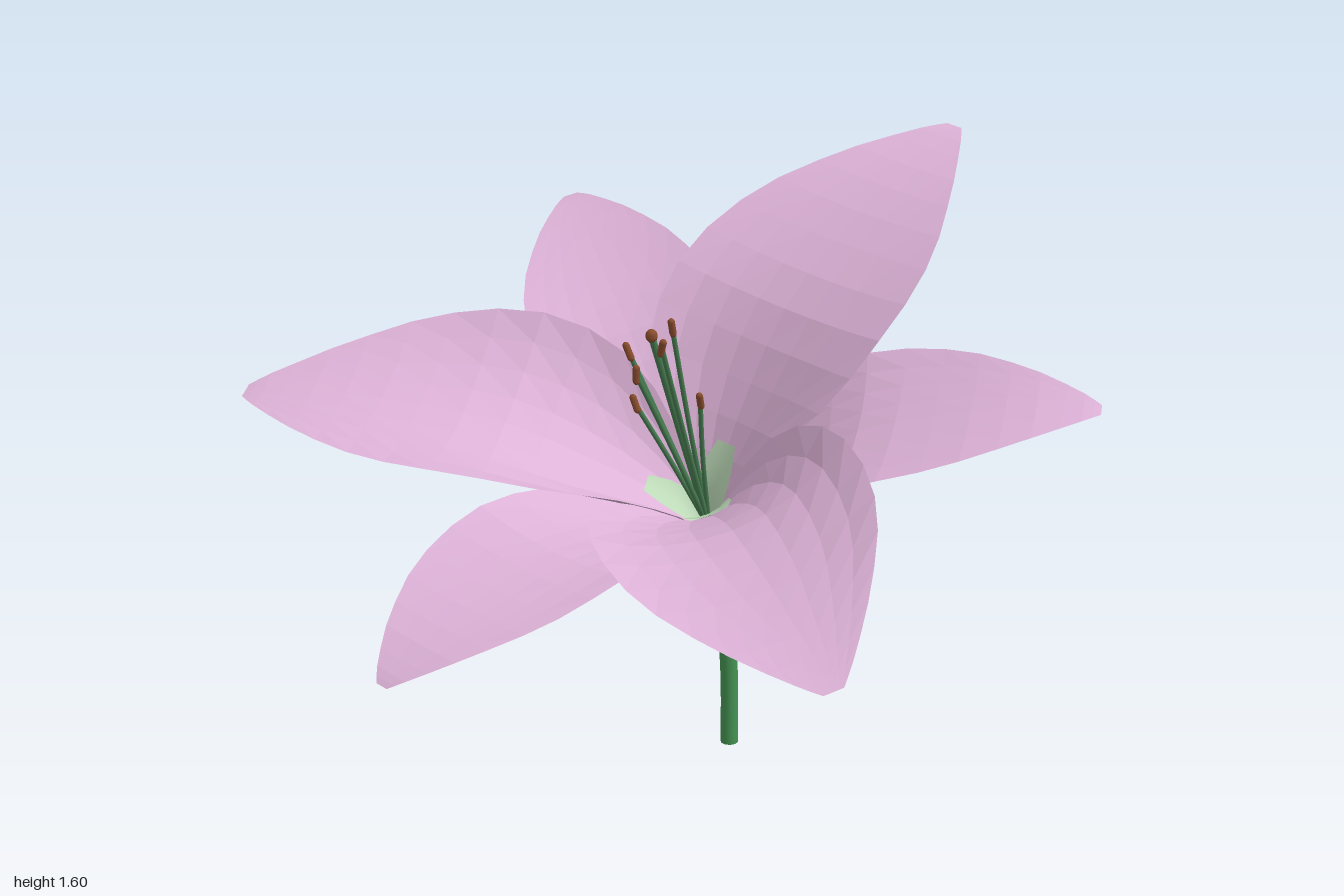
import * as THREE from 'three';

const V = (x, y, z) => new THREE.Vector3(x, y, z);
const mat = (name, color, extra = {}) => {
  const m = new THREE.MeshStandardMaterial({ color, ...extra });
  m.name = name;
  return m;
};

// Flower frame: the bloom sits on the stem end and leans forward
const BASE = V(-0.07, 0.6, -0.16);
const AXIS = V(0.13, 1, 0.53).normalize();

// Petal stations: distance from axis, height, width fraction, cupping radius
const STATIONS = [
  [0.022, 0, 0.09, 0.03], [0.035, 0.08, 0.14, 0.047], [0.09, 0.17, 0.4, 0.125],
  [0.25, 0.3, 0.86, 0.3], [0.44, 0.42, 1, 0.53], [0.67, 0.48, 0.88, 0.75],
  [0.88, 0.507, 0.55, 0.9], [1.04, 0.507, 0.22, 0.9], [1.1, 0.5, 0.07, 0.9],
];
const spine = new THREE.CatmullRomCurve3(STATIONS.map(([r, h]) => V(r, h, 0)), false, 'catmullrom');
const breadth = new THREE.CatmullRomCurve3(STATIONS.map(([, , w, c]) => V(w, c, 0)), false, 'catmullrom');

// Cupped sheet from the flower base towards a tip, with a slight roll, bulge and flattening
function petalSheet({ tip, width, swell, roll, bulge, flat }, { rows, cols, tEnd = 1, spread = () => 1, lift = 0 }) {
  const rel = tip.clone().sub(BASE);
  const tipH = rel.dot(AXIS);
  const out = rel.addScaledVector(AXIS, -tipH);
  const tipR = out.length();
  out.normalize();
  const across = new THREE.Vector3().crossVectors(AXIS, out);
  const at = (t) => {
    const p = spine.getPoint(t), k = p.x / 1.1;
    return [
      p.x * (swell + (tipR / 1.1 - swell) * k),
      p.y + (tipH - 0.5) * k * k + bulge * Math.sin(Math.PI * k),
    ];
  };
  const pos = [], index = [];
  for (let i = 0; i <= rows; i++) {
    const t = (i / rows) * tEnd;
    const [r, h] = at(t);
    const [r0, h0] = at(Math.max(0, t - 0.01)), [r1, h1] = at(Math.min(1, t + 0.01));
    const tangent = out.clone().multiplyScalar(r1 - r0).addScaledVector(AXIS, h1 - h0).normalize();
    const side = across.clone().applyAxisAngle(tangent, roll * Math.min(1, r / 0.6));
    const normal = new THREE.Vector3().crossVectors(tangent, side);
    const b = breadth.getPoint(t), R = b.y * swell * (1 + flat * Math.min(1, r / 0.6));
    for (let j = 0; j <= cols; j++) {
      const a = ((j / cols) * 2 - 1) * spread(i / rows) * b.x * width / R;
      const p = BASE.clone().addScaledVector(out, r).addScaledVector(AXIS, h)
        .addScaledVector(side, R * Math.sin(a))
        .addScaledVector(normal, R * (1 - Math.cos(a)) + lift);
      pos.push(p.x, p.y, p.z);
      if (i < rows && j < cols) {
        const q = i * (cols + 1) + j, n = q + cols + 1;
        index.push(q, n, q + 1, q + 1, n, n + 1);
      }
    }
  }
  const g = new THREE.BufferGeometry();
  g.setAttribute('position', new THREE.Float32BufferAttribute(pos, 3));
  g.setIndex(index);
  g.computeVertexNormals();
  return g;
}

export function createModel() {
  const pink = mat('petal pink', 0xdeb3d8, { side: THREE.DoubleSide, flatShading: true });
  const pale = mat('pale throat green', 0xbddab8);
  const green = mat('stem green', 0x469453);
  const dark = mat('filament green', 0x4a8054);
  const brown = mat('anther brown', 0x8a4e2e);

  const model = new THREE.Group();
  model.name = 'flower';
  const add = (name, geometry, material, parent = model) => {
    const m = new THREE.Mesh(geometry, material);
    m.name = name;
    parent.add(m);
    return m;
  };

  // Curved stem with a closed foot
  const stemPath = new THREE.CatmullRomCurve3([
    V(-0.07, 0, -0.22), V(-0.07, 0.2, -0.218), V(-0.07, 0.4, -0.2), V(-0.07, 0.53, -0.178), V(-0.07, 0.61, -0.157),
  ]);
  add('stem', new THREE.TubeGeometry(stemPath, 16, 0.024, 10), green);
  const foot = add('stemFoot', new THREE.CircleGeometry(0.024, 10), green);
  foot.rotation.x = Math.PI / 2;
  foot.position.set(-0.07, 0.001, -0.22);

  // Pale collar where the petals join the stem
  const collar = add('collar', new THREE.CylinderGeometry(0.035, 0.027, 0.04, 12), pale);
  collar.position.copy(BASE).addScaledVector(AXIS, 0.015);
  collar.quaternion.setFromUnitVectors(V(0, 1, 0), AXIS);

  // Three broad inner petals with a pale throat of given reach, three narrower outer ones
  const inner = { width: 0.35, swell: 1, flat: 0 };
  const outer = { width: 0.26, swell: 1.13, flat: 0.6 };
  const petals = [
    { ...inner, name: 'backPetal', tip: V(0.01, 1.6, -0.98), roll: 0.03, bulge: 0.03, flat: 1.5, throat: 0.3 },
    { ...inner, name: 'leftFrontPetal', tip: V(1, 0.73, 0.53), roll: -0.08, bulge: 0.01, throat: 0.34 },
    { ...inner, name: 'rightFrontPetal', tip: V(-1, 0.98, 0.65), roll: 0.1, bulge: 0.02, throat: 0.29 },
    { ...outer, name: 'frontPetal', tip: V(-0.02, 0.55, 0.97), roll: 0, bulge: -0.01, flat: 1.2 },
    { ...outer, name: 'leftBackPetal', tip: V(0.9, 1.11, -0.5), roll: -0.08, bulge: -0.03 },
    { ...outer, name: 'rightBackPetal', tip: V(-0.91, 1.35, -0.41), roll: 0.07, bulge: -0.03 },
  ];
  for (const petal of petals) {
    add(petal.name, petalSheet(petal, { rows: 18, cols: 8 }), pink);
    if (petal.throat) {
      add(petal.name + 'Throat', petalSheet(petal, {
        rows: 8, cols: 4, tEnd: petal.throat, lift: 0.007, spread: (s) => 0.85 - 0.7 * s * s,
      }), pale);
    }
  }

  // Stamens and the thicker central pistil
  const heart = BASE.clone().addScaledVector(AXIS, 0.05);
  const strand = (name, tip, radius, headRadius, headLength) => {
    const group = new THREE.Group();
    group.name = name;
    model.add(group);
    const mid = heart.clone().lerp(tip, 0.5).addScaledVector(AXIS, 0.02);
    const path = new THREE.CatmullRomCurve3([heart, mid, tip]);
    add('filament', new THREE.TubeGeometry(path, 10, radius, 6), dark, group);
    const head = add('head', new THREE.CapsuleGeometry(headRadius, headLength, 3, 8), brown, group);
    head.position.copy(tip);
    return head;
  };
  const anthers = [
    [0.105, 1.235, 0.19], [-0.08, 1.175, 0.13], [0.03, 1.25, 0.085],
    [-0.057, 1.045, 0.13], [0.062, 1.055, 0.02], [0.03, 1.155, 0.205],
  ];
  anthers.forEach((p, i) => {
    const head = strand('stamen' + (i + 1), V(...p), 0.0065, 0.009, 0.034);
    // Anthers splay away from the pistil, tops leaning forward
    const lean = V((p[0] - 0.01) * 0.5, 0.12, 0.05 - p[2] * 0.2).normalize();
    head.quaternion.setFromUnitVectors(V(0, 1, 0), lean);
  });
  strand('pistil', V(0.047, 1.25, 0.17), 0.009, 0.015, 0.004);

  return model;
}
